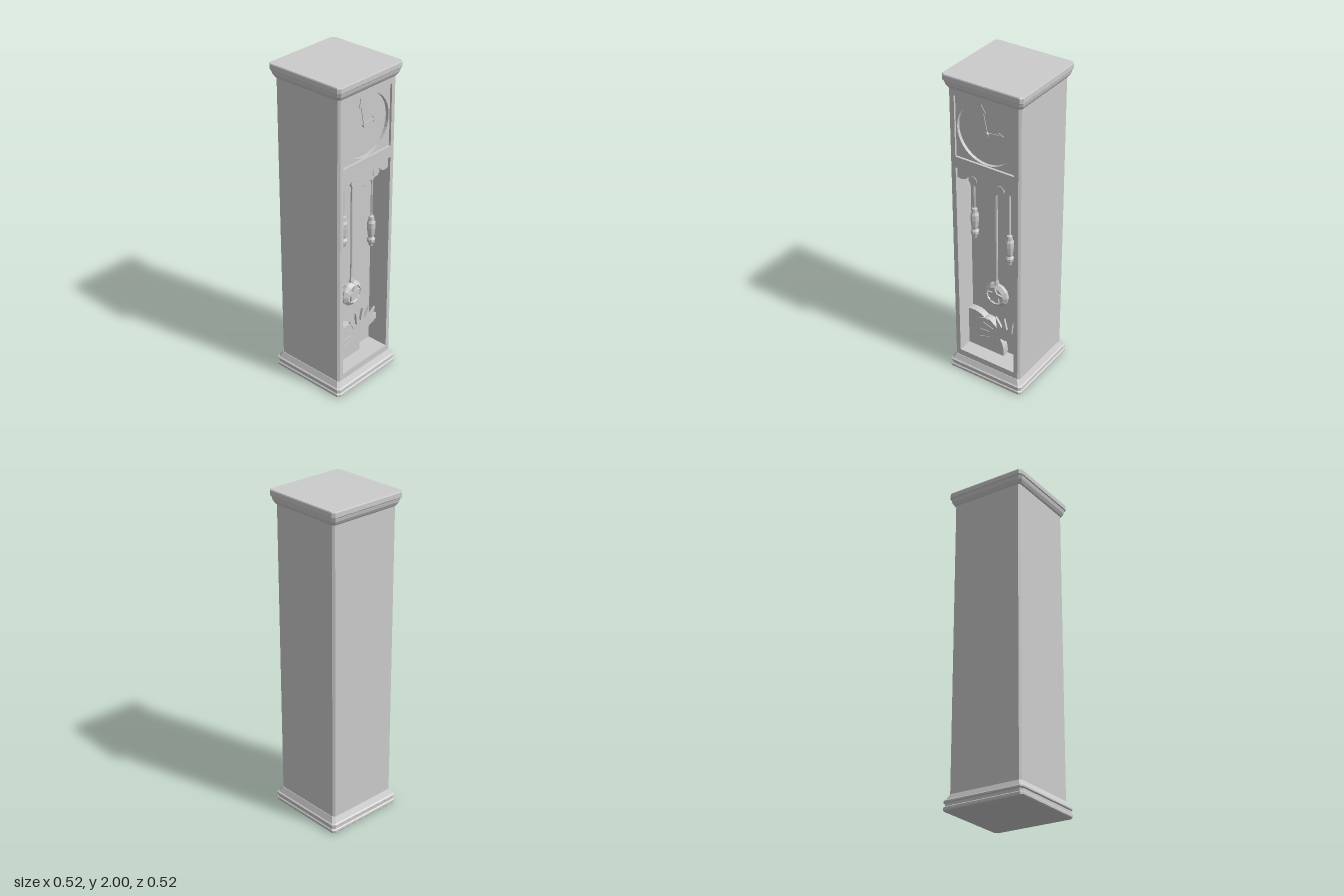
import * as THREE from 'three';

const mat = new THREE.MeshStandardMaterial({ color: 0xcccccc, flatShading: true, side: THREE.DoubleSide });

function add(parent, name, geometry, x = 0, y = 0, z = 0) {
  const mesh = new THREE.Mesh(geometry, mat);
  mesh.name = name;
  mesh.position.set(x, y, z);
  parent.add(mesh);
  return mesh;
}

const polygon = (pts) => new THREE.Shape(pts.map(([x, y]) => new THREE.Vector2(x, y)));
const slab = (shape, depth, curveSegments = 12) =>
  new THREE.ExtrudeGeometry(shape, { depth, bevelEnabled: false, curveSegments });
const turned = (profile, sides) =>
  new THREE.LatheGeometry(profile.map(([r, y]) => new THREE.Vector2(r, y)), sides);

// Square outline with clipped corners, counter-clockwise
function clipped(h, c = 0.015) {
  const k = h - c;
  return [[-h, -k], [-k, -h], [k, -h], [h, -k], [h, k], [k, h], [-k, h], [-h, k]];
}

// Moulding: clipped squares stacked through a [halfWidth, y] profile
function moulding(profile) {
  const pos = [], index = [], n = 8;
  for (const [h, y] of profile) for (const [x, z] of clipped(h)) pos.push(x, y, z);
  for (let i = 0; i < profile.length - 1; i++) {
    for (let j = 0; j < n; j++) {
      const a = i * n + j, b = i * n + (j + 1) % n;
      index.push(a, a + n, b, b, a + n, b + n);
    }
  }
  const top = (profile.length - 1) * n;
  for (let j = 1; j < n - 1; j++) {
    index.push(0, j, j + 1);
    index.push(top, top + j + 1, top + j);
  }
  const g = new THREE.BufferGeometry();
  g.setAttribute('position', new THREE.Float32BufferAttribute(pos, 3));
  g.setIndex(index);
  g.computeVertexNormals();
  return g;
}

// One storey of the case; a notch opens the front back to notchZ
function storey(y0, y1, notchZ) {
  const h = 0.233, w = 0.195;
  const pts = clipped(h, 0.012).map(([x, z]) => [x, -z]);
  if (notchZ !== undefined) {
    pts.splice(6, 0, [w, -h], [w, -notchZ], [-w, -notchZ], [-w, -h]);
  }
  const g = slab(polygon(pts), y1 - y0);
  g.rotateX(-Math.PI / 2);
  g.translate(0, y0, 0);
  return g;
}

export function createModel() {
  const clock = new THREE.Group();
  clock.name = 'longcaseClock';

  // Case
  add(clock, 'plinth', moulding([[0.255, 0], [0.26, 0.006], [0.26, 0.02], [0.254, 0.026], [0.254, 0.042],
    [0.26, 0.048], [0.26, 0.056], [0.252, 0.062], [0.236, 0.095]]));
  const body = new THREE.Group();
  body.name = 'case';
  clock.add(body);
  add(body, 'lowerRail', storey(0.09, 0.135));
  add(body, 'pendulumCompartment', storey(0.135, 1.43, 0.095));
  add(body, 'middleRail', storey(1.43, 1.5));
  add(body, 'dialCompartment', storey(1.5, 1.877, 0.2));
  add(body, 'upperRail', storey(1.877, 1.93));
  add(clock, 'cornice', moulding([[0.234, 1.915], [0.24, 1.922], [0.25, 1.94], [0.255, 1.962], [0.26, 1.967],
    [0.26, 1.994], [0.257, 2]]));

  // Dial surround with round opening
  const surround = polygon([[-0.195, -0.188], [0.195, -0.188], [0.195, 0.188], [-0.195, 0.188]]);
  const opening = new THREE.Path();
  opening.absarc(0, 0, 0.187, 0, Math.PI * 2, true);
  surround.holes.push(opening);
  add(clock, 'dialSurround', slab(surround, 0.02, 16), 0, 1.689, 0.2);

  // Hands
  const hands = new THREE.Group();
  hands.name = 'hands';
  hands.position.set(0, 1.689, 0.2);
  clock.add(hands);
  const hand = (l) => slab(polygon([[-0.008, -0.012], [0.008, -0.012], [0.006, l * 0.7], [0.02, l * 0.7],
    [0, l], [-0.02, l * 0.7], [-0.006, l * 0.7]]), 0.004);
  add(hands, 'minuteHand', hand(0.172), 0, 0, 0.006).rotation.z = 0.2;
  add(hands, 'hourHand', hand(0.11), 0, 0, 0.001).rotation.z = -1.45;
  add(hands, 'handPin', new THREE.CylinderGeometry(0.012, 0.012, 0.014, 8).rotateX(Math.PI / 2), 0, 0, 0.007);

  // Scalloped valance with scroll bosses
  const v = new THREE.Shape();
  v.moveTo(-0.195, 1.43);
  v.lineTo(-0.195, 1.362);
  v.quadraticCurveTo(-0.15, 1.345, -0.12, 1.385);
  v.lineTo(-0.105, 1.36);
  v.quadraticCurveTo(-0.085, 1.345, -0.06, 1.325);
  v.quadraticCurveTo(-0.045, 1.36, 0, 1.315);
  v.quadraticCurveTo(0.045, 1.36, 0.06, 1.325);
  v.quadraticCurveTo(0.085, 1.345, 0.105, 1.36);
  v.lineTo(0.12, 1.385);
  v.quadraticCurveTo(0.15, 1.345, 0.195, 1.362);
  v.lineTo(0.195, 1.43);
  add(clock, 'valance', slab(v, 0.014, 5), 0, 0, 0.203);
  for (const s of [-1, 1]) {
    add(clock, 'scrollBoss', new THREE.CylinderGeometry(0.027, 0.027, 0.02, 12).rotateX(Math.PI / 2),
      s * 0.09, 1.373, 0.211);
  }

  // Weights on cords
  const weightProfile = [[0, -0.2], [0.013, -0.2], [0.015, -0.185], [0.023, -0.175], [0.025, -0.155],
    [0.016, -0.14], [0.02, -0.125], [0.025, -0.08], [0.025, -0.045], [0.018, -0.03], [0.016, -0.005], [0, 0]];
  for (const [x, top] of [[-0.12, 1.157], [0.12, 1.06]]) {
    const weight = new THREE.Group();
    weight.name = 'weight';
    weight.position.set(x, top, 0.165);
    clock.add(weight);
    add(weight, 'weightBody', turned(weightProfile, 8));
    const len = 1.43 - top;
    add(weight, 'weightCord', new THREE.CylinderGeometry(0.006, 0.006, len, 6), 0, len / 2, 0);
  }

  // Pendulum with a star on the bob
  const pendulum = new THREE.Group();
  pendulum.name = 'pendulum';
  pendulum.position.set(0, 0.568, 0.122);
  clock.add(pendulum);
  add(pendulum, 'rod', turned([[0.016, 0.07], [0.013, 0.09], [0.008, 0.11], [0.008, 0.862]], 6));
  add(pendulum, 'bob', turned([[0, -0.02], [0.07, -0.02], [0.08, -0.01], [0.08, 0.008], [0.058, 0.024],
    [0.054, 0.016], [0, 0.016]], 12).rotateX(Math.PI / 2));
  const starPts = [];
  for (let i = 0; i < 10; i++) {
    const r = i % 2 ? 0.027 : 0.053, a = Math.PI / 2 + i * Math.PI / 5;
    starPts.push([r * Math.cos(a), r * Math.sin(a)]);
  }
  add(pendulum, 'star', slab(polygon(starPts), 0.01), 0, 0, 0.016);

  // Carved mound, disc and spiky fan at the foot of the compartment
  const mound = new THREE.Shape();
  mound.moveTo(-0.195, 0.135);
  mound.lineTo(0.058, 0.135);
  mound.quadraticCurveTo(0.068, 0.21, 0.02, 0.275);
  mound.lineTo(-0.07, 0.365);
  mound.quadraticCurveTo(-0.12, 0.41, -0.195, 0.395);
  add(clock, 'carvedMound', slab(mound, 0.045, 6), 0, 0, 0.095);
  add(clock, 'carvedDisc', new THREE.CylinderGeometry(0.088, 0.088, 0.05, 20).rotateX(Math.PI / 2),
    -0.063, 0.287, 0.123);
  const fan = [[0.02, 0.27]];
  const steps = 17;
  for (let i = 0; i <= steps; i++) {
    const a = Math.PI * (1.1 - 0.93 * i / steps);
    const r = i % 2 ? 0.18 : 0.105;
    fan.push([Math.min(0.195, 0.07 + r * Math.cos(a)), 0.25 + r * Math.sin(a)]);
  }
  fan.push([0.195, 0.3], [0.1, 0.27]);
  add(clock, 'spikyFan', slab(polygon(fan), 0.015), 0, 0, 0.137);

  return clock;
}
